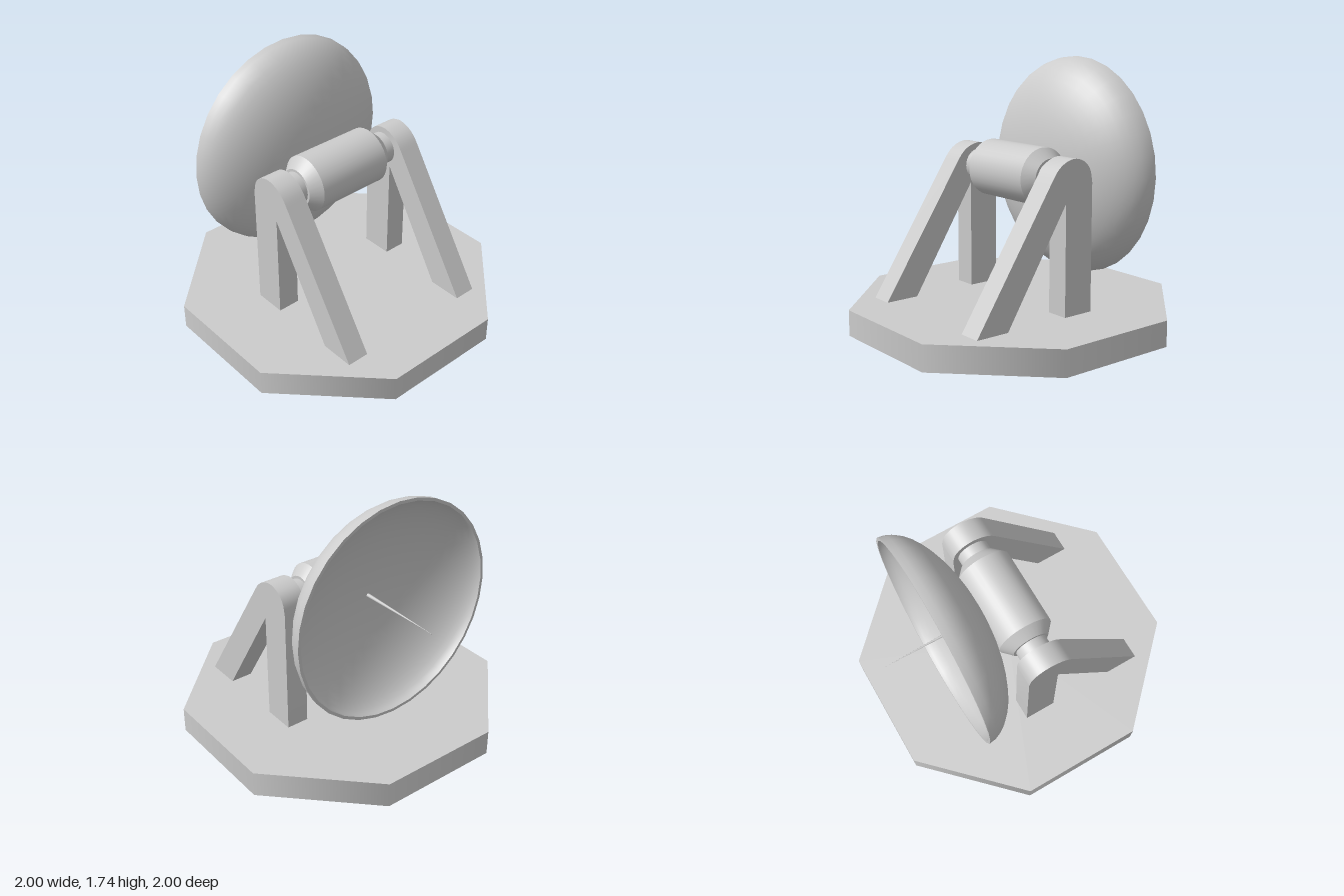
import * as THREE from 'three';
import { toCreasedNormals } from 'three/addons/utils/BufferGeometryUtils.js';

const grey = new THREE.MeshStandardMaterial({ color: 0xcccccc });
const CENTRE_Z = -0.01;

function add(parent, name, geometry, x = 0, y = 0, z = 0) {
  const mesh = new THREE.Mesh(geometry, grey);
  mesh.name = name;
  mesh.position.set(x, y, z);
  parent.add(mesh);
  return mesh;
}

// Points (radius, height) turned around the y axis, with sharp creases kept
function turned(points, segments, crease = 0.5) {
  const lathe = new THREE.LatheGeometry(points.map(([r, y]) => new THREE.Vector2(r, y)), segments);
  return toCreasedNormals(lathe, crease);
}

// Upside-down V support with a rounded top
function supportGeometry(depth) {
  const shape = new THREE.Shape();
  shape.moveTo(-0.175, 0.165);
  shape.lineTo(0.04, 0.165);
  shape.lineTo(0.04, 0.89);
  shape.lineTo(0.495, 0.165);
  shape.lineTo(0.725, 0.165);
  shape.lineTo(0.16, 1.025);
  shape.splineThru([
    [0.11, 1.095], [0.05, 1.14], [-0.03, 1.16],
    [-0.11, 1.135], [-0.157, 1.08], [-0.175, 1.0],
  ].map(([x, y]) => new THREE.Vector2(x, y)));
  shape.closePath();
  const geometry = new THREE.ExtrudeGeometry(shape, { depth, bevelEnabled: false, curveSegments: 3 });
  geometry.translate(0, 0, -depth / 2);
  return toCreasedNormals(geometry, 0.6);
}

// Dish bowl: elliptical outer shell, narrow rim, shallower inner bowl.
// Height runs along the direction the dish faces, zero at the rim.
function dishGeometry() {
  const points = [];
  const steps = 12;
  for (let i = 0; i <= steps; i++) {
    const a = (i / steps) * Math.PI / 2;
    points.push([0.735 * Math.sin(a), -0.355 * Math.cos(a)]);
  }
  points.push([0.715, 0]);
  for (let i = steps - 1; i >= 0; i--) {
    const a = (i / steps) * Math.PI / 2;
    points.push([0.715 * Math.sin(a), -0.27 * Math.pow(Math.cos(a), 1.2)]);
  }
  return turned(points, 32);
}

export function createModel() {
  const model = new THREE.Group();
  model.name = 'dishAntenna';

  // Octagonal base, flat sides facing the axes
  const base = new THREE.CylinderGeometry(1 / Math.cos(Math.PI / 8), 1 / Math.cos(Math.PI / 8), 0.17, 8);
  base.rotateY(Math.PI / 8);
  add(model, 'base', base, 0, 0.085, 0);

  // Pair of supports
  const support = supportGeometry(0.15);
  for (const side of [1, -1]) {
    add(model, side > 0 ? 'frontSupport' : 'backSupport', support, 0, 0, CENTRE_Z + side * 0.483);
  }

  // Pivot drum with chamfered ends and narrow necks
  const drum = turned([
    [0, -0.42], [0.108, -0.42], [0.108, -0.335], [0.125, -0.335], [0.188, -0.265],
    [0.188, 0.265], [0.125, 0.335], [0.108, 0.335], [0.108, 0.42], [0, 0.42],
  ], 32);
  drum.rotateX(Math.PI / 2);
  add(model, 'pivotDrum', drum, -0.03, 1.01, CENTRE_Z);

  // Dish and feed spike, facing -x
  const dish = new THREE.Group();
  dish.name = 'dish';
  dish.position.set(-0.555, 1.005, CENTRE_Z);
  dish.rotation.z = Math.PI / 2;
  add(dish, 'dishBowl', dishGeometry());
  add(dish, 'feedSpike', new THREE.ConeGeometry(0.013, 0.615, 8), 0, 0.0275, 0);
  model.add(dish);

  return model;
}
